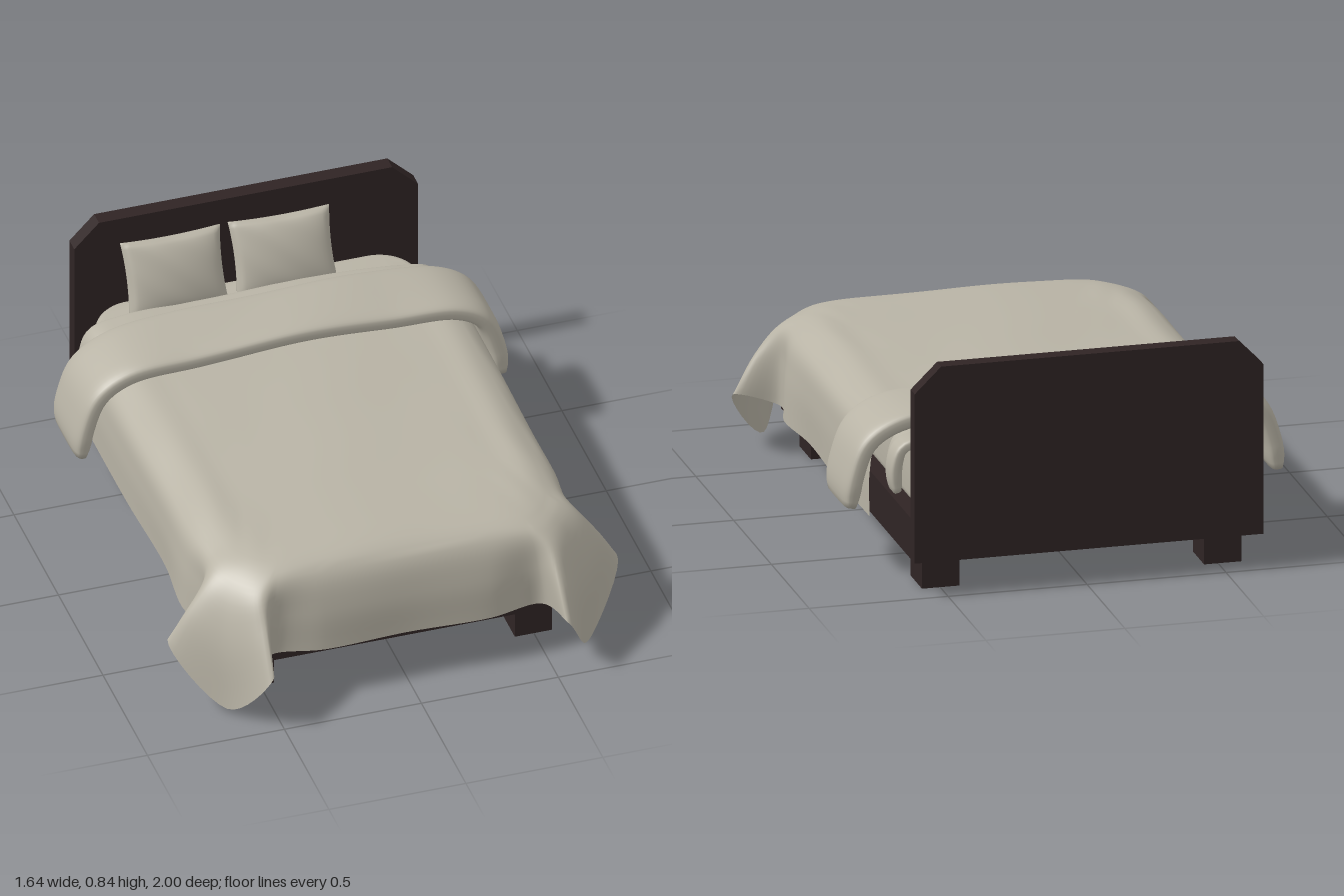
import * as THREE from 'three';
import { mergeVertices, toCreasedNormals } from 'three/addons/utils/BufferGeometryUtils.js';

const V = (x, y, z) => new THREE.Vector3(x, y, z);

// Smooth skin over rows of points, all rows the same length
function loft(rows) {
  const n = rows[0].length, index = [];
  for (let i = 0; i < rows.length - 1; i++) {
    for (let j = 0; j < n - 1; j++) {
      const a = i * n + j, b = a + 1, c = a + n, d = c + 1;
      index.push(a, b, c, b, d, c);
    }
  }
  let g = new THREE.BufferGeometry().setFromPoints(rows.flat());
  g.setIndex(index);
  g = mergeVertices(g, 1e-5);
  g.computeVertexNormals();
  return g;
}

// Cloth band laid over the bed from side to side, with a flattened oval section
function bandGeometry(half, halfWidth, halfThick, zMid, skew) {
  const pts = [...half.map(([x, y]) => V(-x, y, 0)), ...half.slice(0, -1).reverse().map(([x, y]) => V(x, y, 0))];
  const path = new THREE.CatmullRomCurve3(pts), rows = [], N = 90;
  for (let i = 0; i <= N; i++) {
    const t = i / N, p = path.getPointAt(t), d = path.getTangentAt(t);
    const e = Math.min(1, Math.min(i, N - i) / 4);
    const thick = halfThick * Math.sqrt(1 - (1 - e) ** 2);
    const width = halfWidth * (i === 0 || i === N ? 0 : 0.92 + 0.08 * e);
    const row = [];
    for (let j = 0; j <= 32; j++) {
      const a = j / 32 * Math.PI * 2, c = Math.cos(a), s = Math.sin(a);
      const w = Math.sign(c) * Math.abs(c) ** 0.45 * width;
      const h = Math.sign(s) * Math.abs(s) ** 0.6 * thick;
      const ripple = 0.005 * Math.sin(p.x * 9 + w * 8) * e;
      row.push(V(p.x - d.y * h, p.y + d.x * (h + ripple), zMid + w + skew * p.x));
    }
    rows.push(row);
  }
  return loft(rows);
}

// Blanket: hem, middle, shoulder and top lines, each from the back to the front centre
function blanketGeometry() {
  const lines = [
    [[.69, .2, -.66], [.685, .19, -.2], [.675, .19, .2], [.695, .19, .45], [.665, .19, .63], [.82, .23, .67],
      [.66, .02, .85], [.54, .22, 1], [.495, .2, .83], [.3, .195, .85], [0, .195, .84]],
    [[.69, .36, -.66], [.685, .36, -.2], [.68, .36, .2], [.685, .36, .45], [.665, .36, .61], [.735, .37, .68],
      [.66, .28, .81], [.535, .36, .9], [.48, .35, .83], [.3, .35, .84], [0, .35, .835]],
    [[.665, .47, -.66], [.665, .47, -.2], [.66, .47, .2], [.66, .47, .45], [.65, .47, .58], [.65, .47, .67],
      [.605, .455, .75], [.53, .46, .82], [.46, .475, .805], [.3, .48, .8], [0, .48, .8]],
    [[.58, .525, -.66], [.58, .525, -.2], [.58, .525, .2], [.58, .525, .42], [.57, .522, .54], [.555, .52, .62],
      [.52, .52, .68], [.47, .52, .72], [.42, .522, .73], [.28, .525, .73], [0, .53, .73]],
  ];
  const N = 160;
  const rings = lines.map(half => {
    const left = half.map(p => V(...p));
    const right = left.slice(0, -1).reverse().map(p => V(-p.x, p.y, p.z));
    return new THREE.CatmullRomCurve3([...left, ...right]).getPoints(N);
  });
  const rows = [];
  for (let j = 0; j <= N; j++) {
    const column = rings.map(r => r[j]);
    const edge = column[3];
    for (const f of [0.8, 0.55, 0.28, 0]) {
      const x = edge.x * f, z = -0.66 + (edge.z + 0.66) * f;
      const crown = 0.022 * (1 - (x / 0.6) ** 2) * Math.cos(z * 1.9);
      column.push(V(x, 0.525 + crown, z));
    }
    const row = new THREE.CatmullRomCurve3(column).getPoints(42);
    // Soft creases
    for (const p of row) {
      if (p.y > 0.5) p.y += 0.004 * Math.sin(p.x * 7 + p.z * 9) * Math.sin(p.z * 6 - p.x * 4);
    }
    rows.push(row);
  }
  return loft(rows);
}

// Pillow: thick in the middle, thin at the rim, with pinched sides
function pillowGeometry(w, h, thick) {
  let g = new THREE.BoxGeometry(2, 2, 2, 24, 24, 1);
  g.deleteAttribute('normal');
  g.deleteAttribute('uv');
  g = mergeVertices(g);
  const p = g.attributes.position;
  for (let i = 0; i < p.count; i++) {
    const u = p.getX(i), v = p.getY(i);
    const puff = Math.max(0, (1 - u * u) * (1 - v * v)) ** 0.42;
    const crease = 1 + 0.06 * Math.sin(u * 7 + v * 5);
    p.setXYZ(i, u * w / 2 * (1 - 0.05 * (1 - v * v)), v * h / 2 * (1 - 0.05 * (1 - u * u)),
      p.getZ(i) * (0.004 + thick / 2 * puff * crease));
  }
  g.computeVertexNormals();
  return g;
}

export function createModel() {
  const bed = new THREE.Group();
  bed.name = 'bed';
  const wood = new THREE.MeshStandardMaterial({ color: 0x2f2424 });
  wood.name = 'dark wood';
  const cloth = new THREE.MeshStandardMaterial({ color: 0xb8b3a5, side: THREE.DoubleSide });
  cloth.name = 'beige cloth';

  const add = (name, geometry, material, x = 0, y = 0, z = 0) => {
    const mesh = new THREE.Mesh(geometry, material);
    mesh.name = name;
    mesh.position.set(x, y, z);
    bed.add(mesh);
    return mesh;
  };

  // Headboard with cut corners
  const board = new THREE.Shape([[-.635, .13], [.62, .13], [.62, .75], [.525, .843], [-.545, .843], [-.635, .75]]
    .map(([x, y]) => new THREE.Vector2(x, y)));
  add('headboard', new THREE.ExtrudeGeometry(board, { depth: 0.055, bevelEnabled: false }), wood, 0, 0, -1);

  // Base and legs
  add('base', new THREE.BoxGeometry(1.255, 0.15, 1.715), wood, -0.0075, 0.205, -0.0875);
  for (const x of [-0.517, 0.498]) {
    for (const z of [-0.82, 0.65]) add('leg', new THREE.BoxGeometry(0.135, 0.13, 0.15), wood, x, 0.065, z);
  }

  // Mattress with rounded corners
  const r = 0.12, x0 = -0.57, x1 = 0.55, z0 = -0.71, z1 = 0.915;
  const plan = new THREE.Shape();
  plan.moveTo(x0 + r, z0).lineTo(x1 - r, z0);
  plan.absarc(x1 - r, z0 + r, r, -Math.PI / 2, 0);
  plan.absarc(x1 - r, z1 - r, r, 0, Math.PI / 2);
  plan.absarc(x0 + r, z1 - r, r, Math.PI / 2, Math.PI);
  plan.absarc(x0 + r, z0 + r, r, Math.PI, Math.PI * 1.5);
  const mattress = new THREE.ExtrudeGeometry(plan, {
    depth: 0.15, bevelSize: 0.03, bevelThickness: 0.035, bevelSegments: 5, curveSegments: 10,
  });
  mattress.rotateX(-Math.PI / 2);
  add('mattress', toCreasedNormals(mattress, 0.7), cloth, 0, 0.315, 0);

  // Bedding
  add('blanket', blanketGeometry(), cloth);
  add('sheetFold', bandGeometry([[.635, .31], [.64, .42], [.61, .49], [.5, .515], [.25, .525], [0, .53]],
    0.045, 0.02, -0.765, 0), cloth, -0.008);
  add('sheetUnderlayer', bandGeometry([[.62, .3], [.62, .42], [.59, .49], [.5, .51], [.25, .52], [0, .525]],
    0.06, 0.018, -0.71, 0), cloth, -0.008);
  add('blanketFold', bandGeometry([[.775, .23], [.755, .36], [.705, .48], [.6, .545], [.35, .57], [0, .58]],
    0.145, 0.036, -0.562, -0.02), cloth, -0.005);

  // Pillows leaning on the headboard
  [[-0.293, 0.02], [0.103, -0.04]].forEach(([x, turn]) => {
    const pillow = add('pillow', pillowGeometry(0.365, 0.28, 0.095), cloth, x, 0.625, -0.872);
    pillow.rotation.set(-0.38, turn, 0);
  });

  return bed;
}
